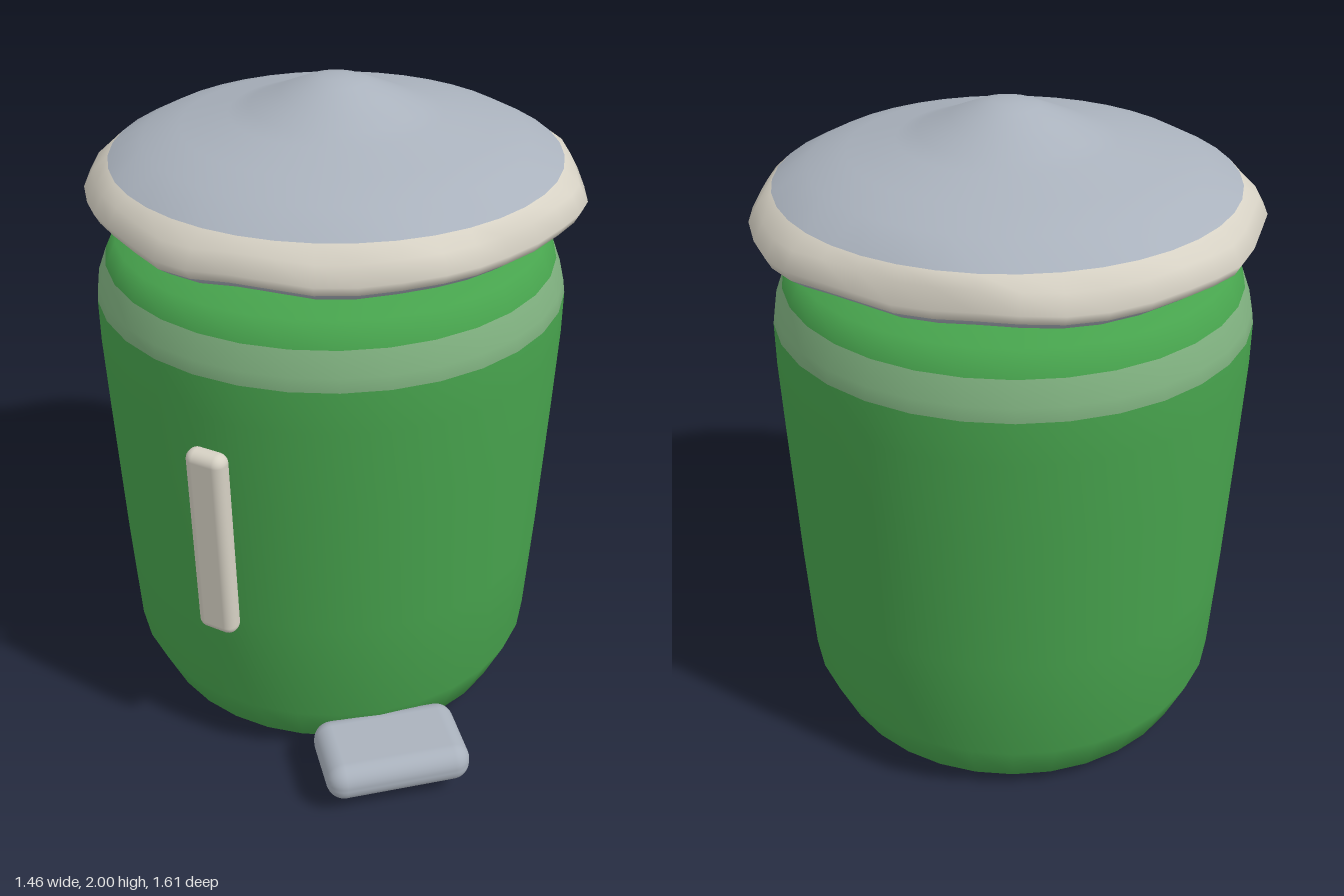
import * as THREE from 'three';
import { mergeVertices } from 'three/addons/utils/BufferGeometryUtils.js';
import { RoundedBoxGeometry } from 'three/addons/geometries/RoundedBoxGeometry.js';

const mat = (name, color) => {
  const m = new THREE.MeshStandardMaterial({ color });
  m.name = name;
  return m;
};

// Smooth turned shape; each profile row is [radius, y, colour of the strip above it].
// warp(v, angle) may push vertices about.
function turned(name, rows, materials, segments, warp) {
  let geo = new THREE.LatheGeometry(rows.map(([r, y]) => new THREE.Vector2(r, y)), segments);
  const pos = geo.attributes.position;
  const v = new THREE.Vector3();
  for (let i = 0; i < pos.count; i++) {
    v.fromBufferAttribute(pos, i);
    if (warp) warp(v, Math.atan2(v.x, v.z));
    pos.setXYZ(i, v.x, v.y, v.z);
  }
  geo.deleteAttribute('normal');
  geo.deleteAttribute('uv');
  geo = mergeVertices(geo, 1e-4);
  geo.computeVertexNormals();

  // sort the faces into one group per colour
  const old = Array.from(geo.index.array);
  const strips = rows.length - 1;
  const buckets = materials.map(() => []);
  for (let q = 0; q < old.length / 6; q++) {
    buckets[rows[q % strips][2]].push(...old.slice(q * 6, q * 6 + 6));
  }
  geo.setIndex(buckets.flat());
  geo.clearGroups();
  let start = 0;
  buckets.forEach((b, k) => {
    geo.addGroup(start, b.length, k);
    start += b.length;
  });
  const mesh = new THREE.Mesh(geo, materials);
  mesh.name = name;
  return mesh;
}

export function createModel() {
  const green = mat('green', 0x47a34d);
  const paleGreen = mat('paleGreen', 0x7fb07f);
  const steel = mat('steel', 0xaab2bd);
  const cream = mat('cream', 0xd6d1c4);

  const group = new THREE.Group();
  group.name = 'pedalBin';

  // body with a pale band below the shoulder
  const body = turned('body', [
    [0, 0.005, 0], [0.42, 0.005, 0], [0.5, 0.015, 0], [0.59, 0.055, 0], [0.655, 0.2, 0],
    [0.675, 0.55, 0], [0.695, 1.0, 0], [0.705, 1.25, 0], [0.705, 1.38, 1], [0.699, 1.42, 1],
    [0.673, 1.49, 0], [0.64, 1.56, 0], [0.5, 1.595, 0], [0.4, 1.6, 0], [0, 1.575, 0],
  ], [green, paleGreen], 32);
  body.position.set(-0.02, 0, -0.07);
  group.add(body);

  // domed lid with a slightly dented cream rim
  const lid = turned('lid', [
    [0, 1.625, 0], [0.58, 1.62, 0], [0.67, 1.635, 0], [0.712, 1.665, 1], [0.728, 1.695, 1],
    [0.7, 1.745, 1], [0.66, 1.782, 0], [0.56, 1.835, 0], [0.45, 1.868, 0], [0.31, 1.9, 0],
    [0.25, 1.92, 0], [0.16, 1.96, 0], [0.09, 1.99, 0], [0.04, 2.0, 0], [0, 2.0, 0],
  ], [steel, cream], 40, (v, a) => {
    const r = Math.hypot(v.x, v.z);
    if (r < 0.64 || v.y > 1.77) return;
    const flat = 0.05 * Math.exp(-(((a - 2.6) / 0.3) ** 2))
      + 0.03 * Math.exp(-(((a - 0.5) / 0.2) ** 2));
    const s = 1 - flat + 0.008 * Math.sin(a * 7 + 1) + 0.005 * Math.sin(a * 13);
    v.x *= s;
    v.z *= s;
    v.y += 0.008 * Math.sin(a * 9 + 0.5);
  });
  lid.position.set(0, 0, -0.08);
  group.add(lid);

  // upright grip on the right-hand front, leaning with the wall
  const handle = new THREE.Group();
  handle.name = 'handle';
  const grip = new THREE.Mesh(new RoundedBoxGeometry(0.125, 0.635, 0.065, 4, 0.03), cream);
  grip.name = 'grip';
  grip.position.set(0, 0.835, 0.705);
  grip.rotation.x = 0.035;
  handle.add(grip);
  handle.position.set(-0.02, 0, -0.07);
  handle.rotation.y = -0.73;
  group.add(handle);

  // foot pedal
  const pedal = new THREE.Mesh(new RoundedBoxGeometry(0.445, 0.12, 0.27, 4, 0.055), steel);
  pedal.name = 'pedal';
  pedal.position.set(-0.01, 0.118, 0.67);
  group.add(pedal);

  return group;
}
